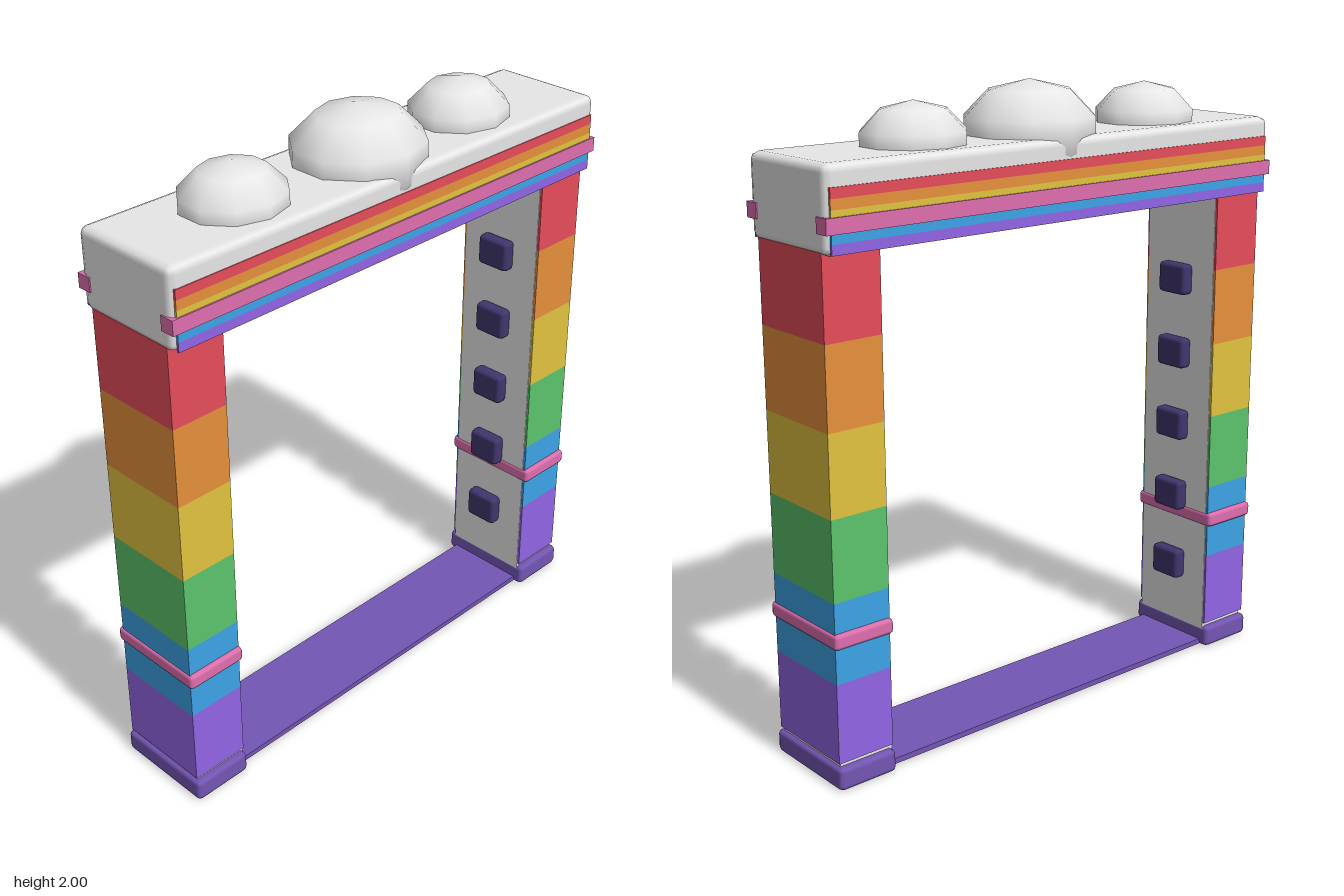
import * as THREE from 'three';
import { RoundedBoxGeometry } from 'three/addons/geometries/RoundedBoxGeometry.js';

const mat = (name, color) => {
  const m = new THREE.MeshStandardMaterial({ color });
  m.name = name;
  return m;
};

export function createModel() {
  const white = mat('white', 0xf2f2f2);
  const pink = mat('pink', 0xde6fae);
  const violet = mat('deep violet', 0x7456b4);
  const navy = mat('dark navy', 0x41366e);
  const rainbow = [
    mat('red', 0xe84d5c), mat('orange', 0xe6903c), mat('yellow', 0xe2c340),
    mat('green', 0x5bc46c), mat('blue', 0x3da3e6), mat('purple', 0x9266e6),
  ];

  const model = new THREE.Group();
  model.name = 'rainbowArch';

  // Box given by its extents; a bevel radius makes it a chamfered box
  const box = (parent, name, material, [x0, x1], [y0, y1], [z0, z1], bevel = 0) => {
    const size = [x1 - x0, y1 - y0, z1 - z0];
    const geo = bevel
      ? new RoundedBoxGeometry(...size, 1, bevel)
      : new THREE.BoxGeometry(...size);
    const mesh = new THREE.Mesh(geo, material);
    mesh.name = name;
    mesh.position.set((x0 + x1) / 2, (y0 + y1) / 2, (z0 + z1) / 2);
    parent.add(mesh);
    return mesh;
  };
  const mirror = (s, a, b) => (s > 0 ? [a, b] : [-b, -a]);

  // Posts with rainbow cladding on the front, back and outer faces
  for (const s of [1, -1]) {
    const post = new THREE.Group();
    post.name = s > 0 ? 'leftPost' : 'rightPost';
    model.add(post);

    box(post, 'postCore', white, mirror(s, 0.672, 0.858), [0.04, 1.62], [-0.15, 0.15]);
    rainbow.forEach((colour, i) => {
      const y = [1.6 - (i + 1) * 0.2525, 1.6 - i * 0.2525];
      for (const f of [1, -1]) {
        box(post, 'facePanel', colour, mirror(s, 0.674, 0.866), y, mirror(f, 0.15, 0.158));
      }
      box(post, 'outerPanel', colour, mirror(s, 0.858, 0.866), y, [-0.15, 0.15]);
    });

    box(post, 'foot', violet, mirror(s, 0.67, 0.872), [0, 0.072], [-0.173, 0.173], 0.015);
    box(post, 'pinkBand', pink, mirror(s, 0.668, 0.873), [0.448, 0.496], [-0.173, 0.173], 0.012);

    // Studs along the inner face
    for (let i = 0; i < 5; i++) {
      const y = 1.302 - i * 0.2545;
      box(post, 'stud', navy, mirror(s, 0.626, 0.673), [y - 0.052, y + 0.052], [-0.06, 0.06], 0.014);
    }
  }

  // Floor strip between the feet
  box(model, 'floorStrip', violet, [-0.672, 0.672], [0.004, 0.022], [-0.14, 0.14]);

  // Top beam with stripes and a pink rail on both faces
  box(model, 'beam', white, [-0.87, 0.87], [1.59, 1.84], [-0.19, 0.19], 0.025);
  for (const f of [1, -1]) {
    rainbow.forEach((colour, i) => {
      const top = 1.778 - i * 0.0305;
      box(model, 'beamStripe', colour, [-0.855, 0.855], [top - 0.0305, top], mirror(f, 0.186, 0.193));
    });
    box(model, 'pinkRail', pink, [-0.874, 0.874], [1.652, 1.698], mirror(f, 0.15, 0.198));
  }

  // Low-poly cloud puffs on top of the beam
  const puff = new THREE.SphereGeometry(1, 10, 5).rotateY(Math.PI / 2);
  const puffs = [
    [0, 0.227, 0.16, 0.207],
    [-0.483, 0.174, 0.125, 0.159],
    [0.435, 0.174, 0.125, 0.159],
  ];
  for (const [x, rx, ry, rz] of puffs) {
    const mesh = new THREE.Mesh(puff, white);
    mesh.name = 'cloudPuff';
    mesh.position.set(x, 1.84, 0);
    mesh.scale.set(rx, ry, rz);
    model.add(mesh);
  }

  return model;
}
